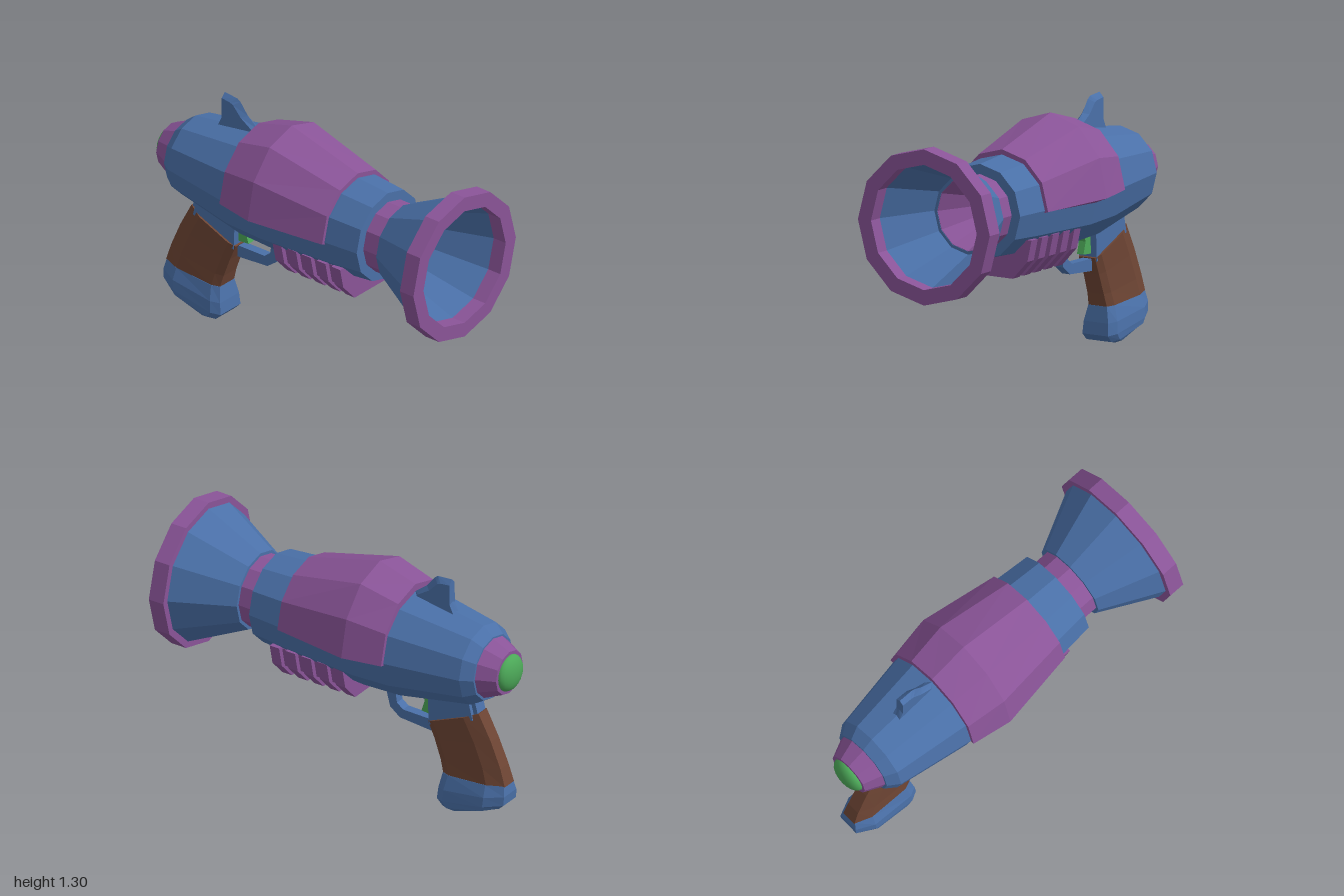
import * as THREE from 'three';

const BLUE = 0x4a70a8, PURPLE = 0x8a5498, BROWN = 0x6e4534, GREEN = 0x4ca858;
const SIDES = 12;

function part(name, geometry, color, flatShading = true) {
  const material = new THREE.MeshStandardMaterial({ color, flatShading });
  const mesh = new THREE.Mesh(geometry, material);
  mesh.name = name;
  return mesh;
}

// Skin a list of rings (each counter-clockwise about the direction of travel)
function loft(rings, capStart = true, capEnd = true) {
  const n = rings[0].length, pos = [];
  const tri = (a, b, c) => pos.push(...a, ...b, ...c);
  for (let i = 0; i < rings.length - 1; i++) {
    for (let j = 0; j < n; j++) {
      const k = (j + 1) % n, p = rings[i], q = rings[i + 1];
      tri(p[j], p[k], q[j]);
      tri(p[k], q[k], q[j]);
    }
  }
  const first = rings[0], last = rings[rings.length - 1];
  for (let j = 1; j < n - 1; j++) {
    if (capStart) tri(first[0], first[j + 1], first[j]);
    if (capEnd) tri(last[0], last[j], last[j + 1]);
  }
  const g = new THREE.BufferGeometry();
  g.setAttribute('position', new THREE.Float32BufferAttribute(pos, 3));
  g.computeVertexNormals();
  return g;
}

// Twelve-sided turned part along z; rows are [z, radius, centre height]
function turned(rows, capStart = false, capEnd = false) {
  return loft(rows.map(([z, r, cy = 0.855]) =>
    Array.from({ length: SIDES }, (_, j) => {
      const a = (j / SIDES) * Math.PI * 2;
      return [r * Math.cos(a), cy + r * Math.sin(a), z];
    })), capStart, capEnd);
}

// Side profile of [z, y] points, extruded across x
function sideProfile(points, width) {
  const shape = new THREE.Shape(points.map(([z, y]) => new THREE.Vector2(z, y)));
  const g = new THREE.ExtrudeGeometry(shape, { depth: width, bevelEnabled: false });
  return g.translate(0, 0, -width / 2).rotateY(-Math.PI / 2);
}

// Chamfered handle section between a front and a back [z, y] point
function gripRing([fz, fy, bz, by, w]) {
  const outline = [[1, 0.75], [1, 0.12], [0.75, 0], [-0.75, 0], [-1, 0.12], [-1, 0.75], [-0.55, 1], [0.55, 1]];
  return outline.map(([x, t]) => [x * w, fy + (by - fy) * t, fz + (bz - fz) * t]);
}

export function createModel() {
  const model = new THREE.Group();
  model.name = 'toyBlaster';
  const add = (...args) => {
    const mesh = part(...args);
    model.add(mesh);
    return mesh;
  };

  // Flared muzzle
  add('muzzleRim', turned([[0.91, 0.325], [0.91, 0.405], [1, 0.405], [1, 0.325], [0.91, 0.325]]), PURPLE);
  add('muzzleHorn', turned([[0.59, 0.19], [0.59, 0.212], [0.92, 0.375], [0.92, 0.325], [0.6, 0.206], [0.6, 0.19], [0.59, 0.19]]), BLUE);
  add('neck', turned([[0.47, 0.195], [0.597, 0.195], [0.597, 0.188], [0.4, 0.11]]), PURPLE);
  add('barrelBack', new THREE.CircleGeometry(0.112, SIDES).translate(0, 0.855, 0.402), BLUE);
  add('barrelOrb', new THREE.SphereGeometry(0.062, 20, 14), GREEN, false).position.set(0, 0.847, 0.43);

  // Main body and tail
  add('body', turned([
    [-0.85, 0.177, 0.868], [-0.79, 0.22, 0.872], [-0.37, 0.29, 0.868],
    [-0.15, 0.287], [0.3, 0.263], [0.49, 0.247], [0.49, 0.185],
  ], true), BLUE);
  add('tailCone', turned([[-0.95, 0.12, 0.87], [-0.84, 0.17, 0.87]], true), PURPLE);
  const lamp = add('tailLamp', new THREE.SphereGeometry(0.1, 20, 12), GREEN, false);
  lamp.position.set(0, 0.87, -0.95);
  lamp.scale.z = 0.5;

  // Upper shell: half-ring sections [z, half width, height, base y, inner lip y, inner x]
  const shellRows = [
    [-0.37, 0.31, 0.338, 0.862, 0.85, 0.26],
    [-0.15, 0.348, 0.408, 0.857, 0.82, 0.26],
    [0.29, 0.283, 0.295, 0.85, 0.837, 0.24],
  ];
  add('upperShell', loft(shellRows.map(([z, rx, ry, cy, lip, ix]) => {
    const ring = [];
    for (let j = 0; j <= SIDES / 2; j++) {
      const a = (j / SIDES) * Math.PI * 2;
      ring.push([rx * Math.cos(a), cy + ry * Math.sin(a), z]);
    }
    return [...ring, [-ix, lip, z], [ix, lip, z]];
  })), PURPLE);

  // Rear sight fin with a ridged leading edge
  const finRows = [ // ridge z, ridge y, rear z, rear y, shoulder drop
    [-0.34, 1.1, -0.63, 1.06, 0],
    [-0.37, 1.16, -0.62, 1.11, 0],
    [-0.44, 1.215, -0.597, 1.17, 0.01],
    [-0.49, 1.28, -0.595, 1.25, 0.02],
    [-0.51, 1.293, -0.595, 1.3, 0.025],
  ];
  add('sightFin', loft(finRows.map(([fz, fy, bz, by, d]) => [
    [0, fy, fz], [0.024, fy - d, fz - 0.03], [0.024, by - d, bz],
    [0, by, bz], [-0.024, by - d, bz], [-0.024, fy - d, fz - 0.03],
  ])), BLUE);

  // Ribbed fore grip hugging the underside
  const foreGrip = new THREE.Group();
  foreGrip.name = 'foreGrip';
  model.add(foreGrip);
  const gripSlab = (name, inset, z, depth) => {
    const half = [[0.235, 0.71], [0.21, 0.597], [0.12, 0.5]].map(([x, y]) => [x - inset, y === 0.5 ? y + inset : y - inset * 0.4]);
    const outline = [...half.map(([x, y]) => [-x, y]), ...half.reverse()];
    const shape = new THREE.Shape(outline.map(([x, y]) => new THREE.Vector2(x, y)));
    const g = new THREE.ExtrudeGeometry(shape, { depth, bevelEnabled: false });
    foreGrip.add(part(name, g.translate(0, 0, z), PURPLE));
  };
  gripSlab('foreGripCore', 0.028, -0.07, 0.43);
  for (let i = 0; i < 5; i++) gripSlab('foreGripRib', 0, -0.08 + i * 0.098, 0.058);

  // Trigger group
  add('triggerGuard', sideProfile([
    [-0.19, 0.6], [-0.23, 0.45], [-0.29, 0.405], [-0.49, 0.39],
    [-0.49, 0.455], [-0.31, 0.457], [-0.272, 0.485], [-0.255, 0.6],
  ], 0.05), BLUE);
  add('trigger', sideProfile([
    [-0.41, 0.62], [-0.44, 0.55], [-0.42, 0.485], [-0.49, 0.48], [-0.5, 0.62],
  ], 0.04), GREEN);

  // Handle
  add('gripFrame', sideProfile([
    [-0.48, 0.66], [-0.49, 0.44], [-0.76, 0.55], [-0.725, 0.69],
  ], 0.11), BLUE);
  add('gripBackStrap', sideProfile([
    [-0.71, 0.69], [-0.72, 0.54], [-0.78, 0.58], [-0.75, 0.69],
  ], 0.07), BLUE);
  add('grip', loft([
    [-0.48, 0.46, -0.785, 0.59, 0.066],
    [-0.52, 0.37, -0.86, 0.45, 0.064],
    [-0.56, 0.26, -0.92, 0.31, 0.067],
    [-0.58, 0.19, -0.95, 0.215, 0.075],
  ].map(gripRing)), BROWN);
  add('gripBase', loft([
    [-0.578, 0.193, -0.945, 0.22, 0.076],
    [-0.563, 0.11, -0.955, 0.165, 0.1],
    [-0.556, 0.045, -0.952, 0.115, 0.105],
    [-0.59, 0.01, -0.925, 0.09, 0.102],
    [-0.64, 0, -0.89, 0.08, 0.09],
  ].map(gripRing)), BLUE);

  return model;
}
